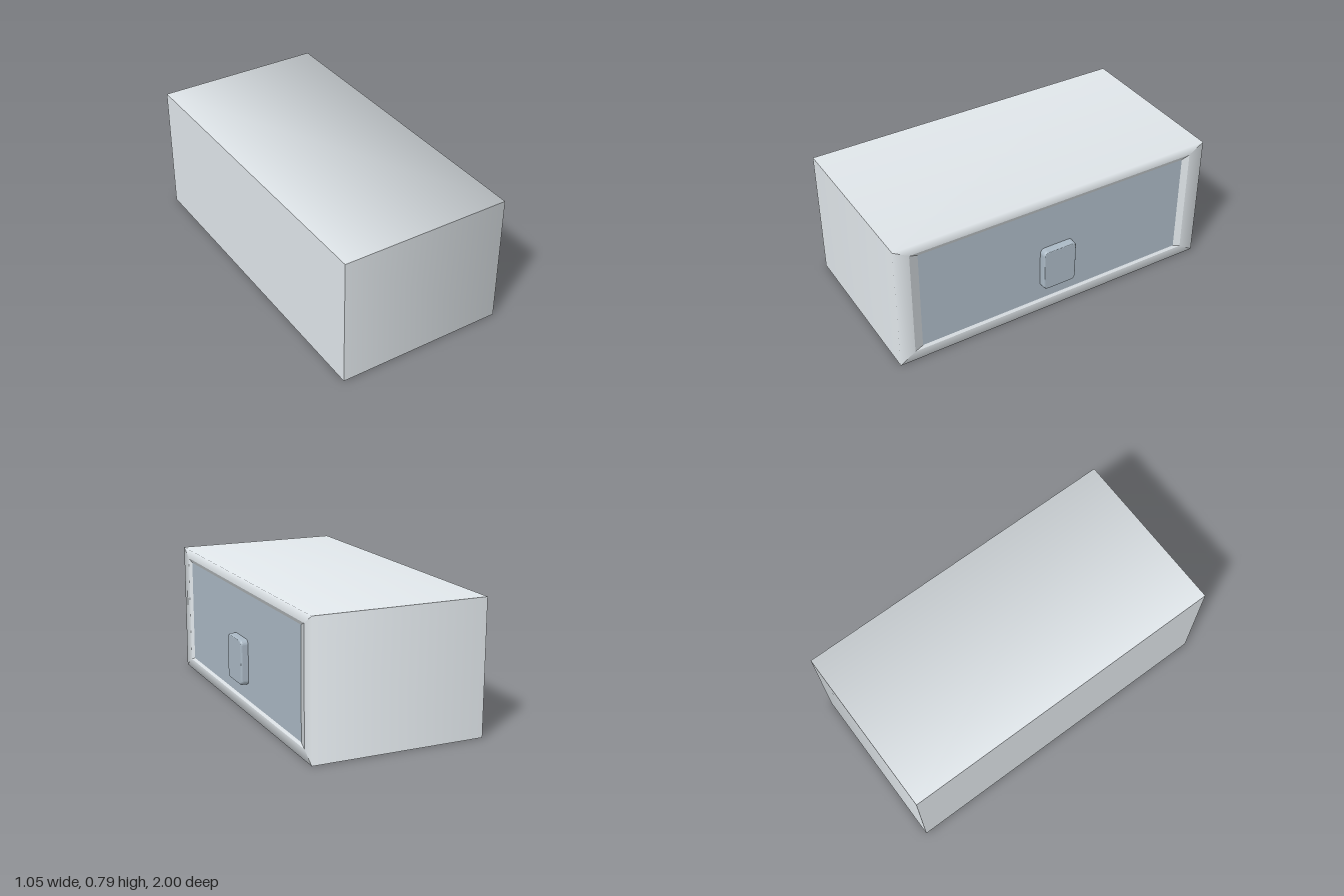
import * as THREE from 'three';

const shellPaint = new THREE.MeshStandardMaterial({ color: 0xe0e6ea, side: THREE.DoubleSide });
const slate = new THREE.MeshStandardMaterial({ color: 0xaab8c4 });

// Rectangular rings (x, half depth, bottom, top) joined into four walls with mitred corners.
// normalAt(ring, outward) gives the normal of each ring on each wall.
function ringWalls(rings, normalAt) {
  const position = [], normal = [], index = [];
  const outward = [[0, 0, 1], [0, 1, 0], [0, 0, -1], [0, -1, 0]];
  outward.forEach((dir, side) => {
    const o = new THREE.Vector3(...dir);
    const base = position.length / 3;
    rings.forEach(([x, hz, y0, y1], r) => {
      const corners = [[y0, hz], [y1, hz], [y1, -hz], [y0, -hz]];
      const n = normalAt(r, o);
      for (const k of [side, (side + 1) % 4]) {
        position.push(x, ...corners[k]);
        normal.push(n.x, n.y, n.z);
      }
      if (r > 0) {
        const a = base + 2 * (r - 1);
        index.push(a, a + 2, a + 1, a + 1, a + 2, a + 3);
      }
    });
  });
  const g = new THREE.BufferGeometry();
  g.setAttribute('position', new THREE.Float32BufferAttribute(position, 3));
  g.setAttribute('normal', new THREE.Float32BufferAttribute(normal, 3));
  g.setIndex(index);
  return g;
}

function roundedRect(path, w, h, r, cy = 0) {
  const x = w / 2, y0 = cy - h / 2, y1 = cy + h / 2;
  path.moveTo(-x + r, y0).lineTo(x - r, y0);
  path.absarc(x - r, y0 + r, r, -Math.PI / 2, 0);
  path.absarc(x - r, y1 - r, r, 0, Math.PI / 2);
  path.absarc(-x + r, y1 - r, r, Math.PI / 2, Math.PI);
  path.absarc(-x + r, y0 + r, r, Math.PI, Math.PI * 1.5);
  return path;
}

// Extrude a shape so that it faces +x
function extrudeX(shape, depth, bevel) {
  return new THREE.ExtrudeGeometry(shape, {
    depth, bevelEnabled: bevel > 0, bevelThickness: bevel, bevelSize: bevel,
    bevelOffset: -bevel, bevelSegments: 3, curveSegments: 6,
  }).rotateY(Math.PI / 2);
}

export function createModel() {
  const model = new THREE.Group();
  const add = (parent, name, geometry, material) => {
    const mesh = new THREE.Mesh(geometry, material);
    mesh.name = name;
    parent.add(mesh);
    return mesh;
  };
  const X = new THREE.Vector3(1, 0, 0);
  const back = -0.526, front = 0.487, top = 0.785;

  // Walls running softly into the mitred front frame
  add(model, 'cabinetShell', ringWalls(
    [[back, 1, 0, top], [front, 1, 0, top], [front, 0.907, 0.06, 0.728]],
    (r, o) => (r === 0 ? o.clone() : r === 1 ? o.clone().add(X).normalize() : X)), shellPaint);

  // Narrow lip between frame and door, almost flush
  add(model, 'openingLip', ringWalls(
    [[front, 0.907, 0.06, 0.728], [front - 0.005, 0.857, 0.08, 0.708]],
    (r, o) => X.clone().addScaledVector(o, -0.6).normalize()), shellPaint);

  const backPanel = add(model, 'backPanel', new THREE.PlaneGeometry(2, top), shellPaint);
  backPanel.rotation.y = -Math.PI / 2;
  backPanel.position.set(back, top / 2, 0);

  const door = add(model, 'door', new THREE.BoxGeometry(0.02, 0.63, 1.716), slate);
  door.position.set(front - 0.015, 0.394, 0);

  // Paddle latch: rounded rim, dish floor and paddle
  const latch = new THREE.Group();
  latch.name = 'latch';
  latch.position.set(0.473, 0.306, -0.003);
  model.add(latch);

  const rim = roundedRect(new THREE.Shape(), 0.214, 0.268, 0.03);
  rim.holes.push(roundedRect(new THREE.Path(), 0.18, 0.234, 0.014));
  add(latch, 'latchRim', extrudeX(rim, 0.042, 0.011), slate);

  add(latch, 'latchDish', extrudeX(roundedRect(new THREE.Shape(), 0.196, 0.25, 0.02), 0.018, 0), slate);

  const paddle = add(latch, 'latchPaddle',
    extrudeX(roundedRect(new THREE.Shape(), 0.178, 0.174, 0.014, 0.032), 0.012, 0.004), slate);
  paddle.position.x = 0.028;
  paddle.rotation.z = 0.03;

  return model;
}
